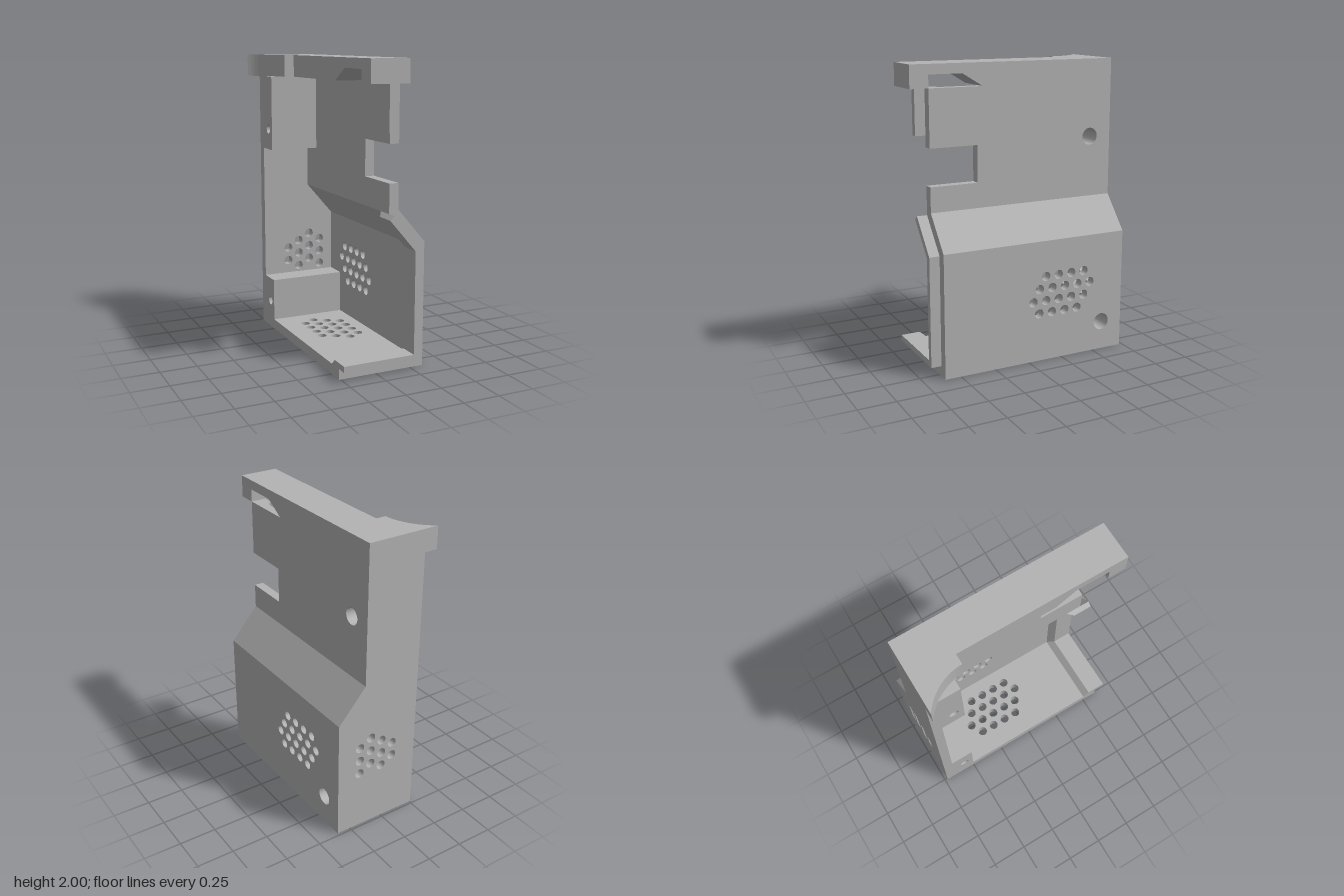
import * as THREE from 'three';

const BACK = -0.73, INNER_BACK = -0.665, FRONT = 0.61;

// Closed outline with round holes given as [x, y, radius]
function outline(points, holes = []) {
  const shape = new THREE.Shape(points.map(p => new THREE.Vector2(p[0], p[1])));
  for (const [x, y, r] of holes) {
    const hole = new THREE.Path();
    hole.absarc(x, y, r, 0, Math.PI * 2, true);
    shape.holes.push(hole);
  }
  return shape;
}
const rect = (a, b, c, d) => [[a, b], [c, b], [c, d], [a, d]];
const extrude = (shape, depth) =>
  new THREE.ExtrudeGeometry(shape, { depth, bevelEnabled: false, curveSegments: 14 });

// Slabs: outline in x,y / z,y / x,z, spanning a range of the remaining axis
const slabZ = (shape, z0, z1) => extrude(shape, z1 - z0).translate(0, 0, z0);
const slabX = (shape, x0, x1) => extrude(shape, x1 - x0).rotateY(-Math.PI / 2).translate(x1, 0, 0);
const slabY = (shape, y0, y1) => extrude(shape, y1 - y0).rotateX(Math.PI / 2).translate(0, y1, 0);

// Chamfered rim lofted between an outer and an inner contour
function rim(outer, inner) {
  const rings = outer.map(([x, y], i) => [
    [x, y, 0.5], [x, y, 0.68], [...inner[i], 0.68], [...inner[i], 0.545]]);
  const pos = [];
  const quad = (a, b, c, d) => pos.push(...a, ...b, ...c, ...a, ...c, ...d);
  quad(...rings[0]);
  for (let i = 0; i < rings.length - 1; i++) {
    for (let k = 0; k < 4; k++) {
      const n = (k + 1) % 4;
      quad(rings[i][n], rings[i][k], rings[i + 1][k], rings[i + 1][n]);
    }
  }
  quad(...[...rings[rings.length - 1]].reverse());
  const g = new THREE.BufferGeometry();
  g.setAttribute('position', new THREE.Float32BufferAttribute(pos, 3));
  g.computeVertexNormals();
  return g;
}

// Staggered vent rows: [row position, first position, count]
function vents(rows, place) {
  const list = [];
  for (const [row, start, count] of rows) {
    for (let i = 0; i < count; i++) list.push([...place(start + i * 0.0975, row), 0.032]);
  }
  return list;
}

export function createModel() {
  const group = new THREE.Group();
  const grey = new THREE.MeshStandardMaterial({ color: 0xb3b3b3 });
  grey.name = 'plain grey';
  const add = (name, geometry) => {
    const mesh = new THREE.Mesh(geometry, grey);
    mesh.name = name;
    group.add(mesh);
  };

  // Back panel following the stepped outline
  const backVents = vents(
    [[-0.075, 0.465, 2], [0.01, 0.417, 3], [0.095, 0.465, 3], [0.18, 0.417, 3]],
    (along, row) => [row, along]);
  add('backPanel', slabZ(outline([[-0.26, 0], [0.345, 0], [0.345, 0.835], [0.15, 1.06],
    [0.15, 1.85], [-0.26, 1.85]], backVents), BACK, INNER_BACK));

  // Floor
  const floorVents = vents(
    [[-0.09, -0.315, 4], [-0.005, -0.365, 5], [0.08, -0.315, 5], [0.165, -0.267, 4]],
    (along, row) => [row, along]);
  add('floor', slabY(outline(rect(-0.26, INNER_BACK, 0.28, FRONT), floorVents), 0, 0.07));

  // Side wall: lower panel, slope, notched upper panel
  const sideVents = vents(
    [[0.59, -0.42, 4], [0.505, -0.47, 5], [0.42, -0.422, 5], [0.335, -0.37, 4]],
    (along, row) => [along, row]);
  add('lowerSideWall', slabX(outline(rect(INNER_BACK, 0, FRONT, 0.81),
    [...sideVents, [-0.57, 0.2, 0.058]]), 0.28, 0.345));
  add('slopedSideWall', slabZ(outline([[0.28, 0.81], [0.345, 0.81], [0.345, 0.835],
    [0.15, 1.06], [0.085, 1.06], [0.085, 1.035]]), INNER_BACK, FRONT));
  add('upperSideWall', slabX(outline([[INNER_BACK, 1.06], [FRONT, 1.06], [FRONT, 1.228],
    [0.28, 1.228], [0.28, 1.475], [FRONT, 1.475], [FRONT, 1.85], [INNER_BACK, 1.85]],
  [[-0.57, 1.475, 0.058]]), 0.085, 0.15));

  // Screw blocks with a wide bore that narrows toward the open side
  for (const [name, y0, y1, holeY, wallX] of [
    ['lowerScrewBlock', 0.07, 0.37, 0.2, 0.28], ['upperScrewBlock', 1.33, 1.85, 1.475, 0.085]]) {
    const block = r => outline(rect(INNER_BACK, y0, -0.5, y1), [[-0.57, holeY, r]]);
    add(name, slabX(block(0.033), -0.26, -0.12));
    add(name + 'Bore', slabX(block(0.058), -0.12, wallX));
  }

  // Top cap, thinned near the front with a hanging front edge
  add('topCap', slabX(outline([[BACK, 1.85], [0.24, 1.85], [0.38, 1.935], [FRONT, 1.935],
    [FRONT, 1.85], [0.735, 1.85], [0.735, 2], [BACK, 2]]), -0.115, 0.15));

  // Curved hook at the back of the cap
  const hook = new THREE.Shape();
  hook.moveTo(-0.35, BACK);
  hook.lineTo(-0.115, BACK);
  hook.lineTo(-0.115, -0.435);
  hook.lineTo(-0.185, -0.435);
  hook.bezierCurveTo(-0.185, -0.55, -0.25, -0.67, -0.35, BACK);
  add('topHook', slabY(hook, 1.85, 2));

  // Mating rims along the front opening
  add('lowerRim', rim([[-0.26, 0.07], [0.28, 0.07], [0.28, 0.81], [0.085, 1.035]],
    [[-0.26, 0.11], [0.24, 0.11], [0.24, 0.795], [0.055, 1.008]]));
  add('upperRim', rim([[0.085, 1.55], [0.085, 1.85]], [[0.042, 1.55], [0.042, 1.85]]));

  return group;
}
